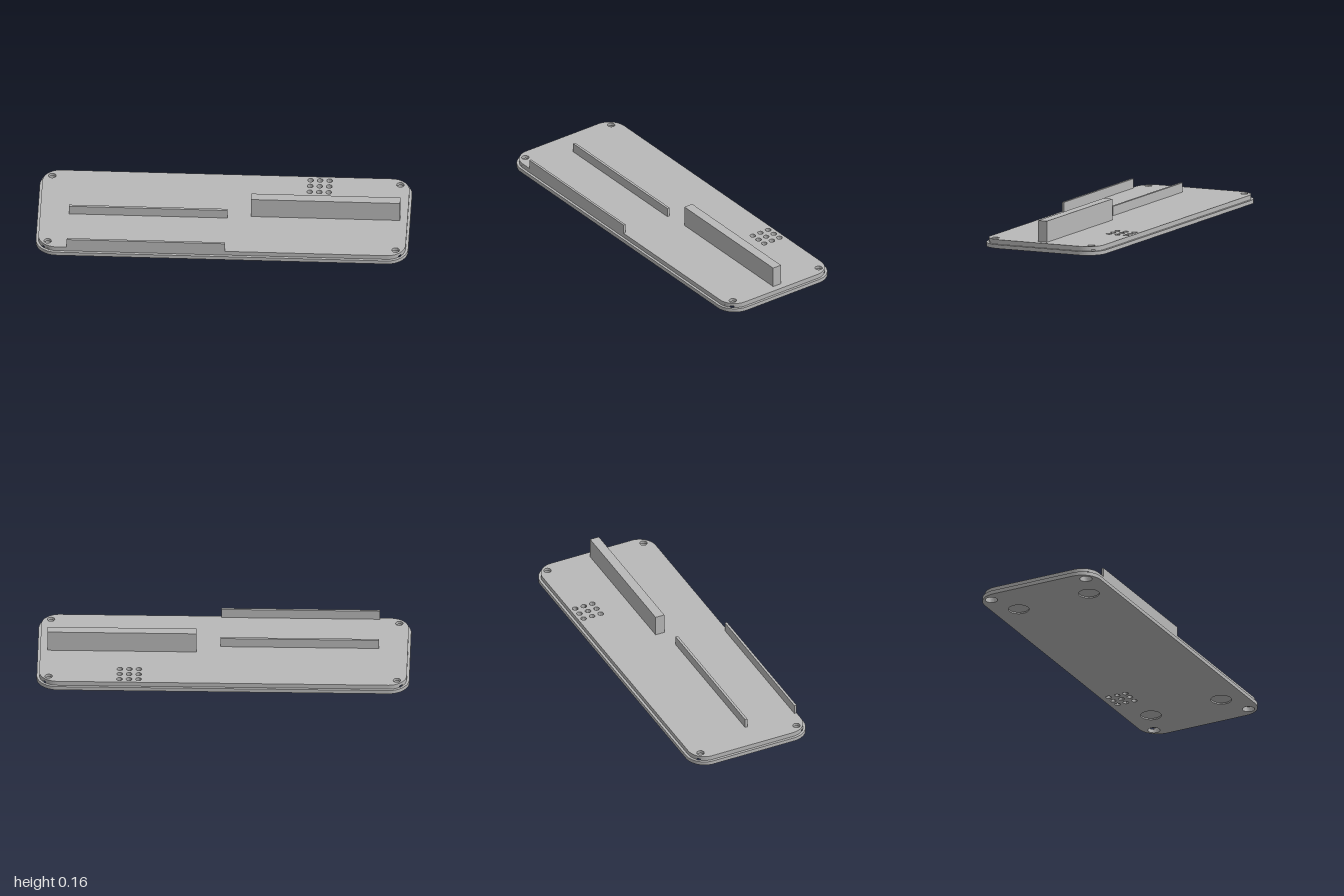
import * as THREE from 'three';
import { toCreasedNormals } from 'three/addons/utils/BufferGeometryUtils.js';

const grey = new THREE.MeshStandardMaterial({ color: 0xb8b8b8 });
grey.name = 'grey';

const CX = 0.888, CZ = 0.24;        // centres of the rounded corners
const SCREW = 0.0467;               // screw offset from a corner centre, along x and z
const POCKET_R = 0.033;             // radius of the screw head pockets
const SIGNS = [[1, 1], [-1, 1], [-1, -1], [1, -1]];

// Rounded rectangle; with a pocket, each corner arc is broken by a round bite.
function outline(radius, pocket = 0) {
  const shape = new THREE.Shape();
  const d = SCREW * Math.SQRT2;
  const along = (d * d + radius * radius - pocket * pocket) / (2 * d);
  const half = Math.sqrt(Math.max(0, radius * radius - along * along));
  const gap = Math.atan2(half, along), bite = Math.atan2(half, along - d);
  SIGNS.forEach(([sx, sz], i) => {
    const start = i * Math.PI / 2, mid = start + Math.PI / 4, end = start + Math.PI / 2;
    const x = sx * CX, z = sz * CZ;
    if (pocket) {
      shape.absarc(x, z, radius, start, mid - gap, false);
      shape.absarc(x + sx * SCREW, z + sz * SCREW, pocket, mid - bite, mid + bite, true);
      shape.absarc(x, z, radius, mid + gap, end, false);
    } else {
      shape.absarc(x, z, radius, start, end, false);
    }
  });
  shape.closePath();
  return shape;
}

function hole(shape, x, z, r) {
  const path = new THREE.Path();
  path.absarc(x, -z, r, 0, Math.PI * 2, true);
  shape.holes.push(path);
}

function screwHoles(shape, r) {
  for (const [sx, sz] of SIGNS) hole(shape, sx * (CX + SCREW), sz * (CZ + SCREW), r);
}

function speakerHoles(shape) {
  for (let i = -1; i <= 1; i++)
    for (let j = -1; j <= 1; j++) hole(shape, 0.503 + i * 0.051, -0.256 + j * 0.051, 0.0155);
}

// Horizontal plate between two heights
function plate(name, shape, y0, y1) {
  let geometry = new THREE.ExtrudeGeometry(shape, { depth: y1 - y0, bevelEnabled: false, curveSegments: 16 });
  geometry.rotateX(-Math.PI / 2);
  geometry.translate(0, y0, 0);
  geometry = toCreasedNormals(geometry, 0.6);
  const mesh = new THREE.Mesh(geometry, grey);
  mesh.name = name;
  return mesh;
}

function wall(name, x0, x1, z0, z1, top) {
  const bottom = 0.046;
  const mesh = new THREE.Mesh(new THREE.BoxGeometry(x1 - x0, top - bottom, z1 - z0), grey);
  mesh.name = name;
  mesh.position.set((x0 + x1) / 2, (top + bottom) / 2, (z0 + z1) / 2);
  return mesh;
}

export function createModel() {
  const model = new THREE.Group();
  model.name = 'coverPlate';

  // Base flange: underside layer with foot recesses, then a layer that closes them
  const under = outline(0.112);
  screwHoles(under, POCKET_R);
  speakerHoles(under);
  for (const [sx, sz] of SIGNS) hole(under, sx * 0.761, sz * 0.213, 0.056);
  model.add(plate('baseUnderside', under, 0, 0.008));

  const base = outline(0.112);
  screwHoles(base, POCKET_R);
  speakerHoles(base);
  model.add(plate('baseFlange', base, 0.008, 0.021));

  // Raised lid: pocketed layer, then the top with narrow screw holes
  const pocketed = outline(0.098, POCKET_R);
  speakerHoles(pocketed);
  model.add(plate('lidPocketLayer', pocketed, 0.021, 0.029));

  const lid = outline(0.098);
  screwHoles(lid, 0.02);
  speakerHoles(lid);
  model.add(plate('lidTop', lid, 0.029, 0.046));

  // Upright ribs
  model.add(wall('frontRib', -0.83, 0.02, 0.325, 0.338, 0.097));
  model.add(wall('middleRib', -0.83, 0.02, 0.031, 0.045, 0.097));
  model.add(wall('tallBlock', 0.147, 0.947, -0.026, 0.026, 0.161));

  return model;
}
